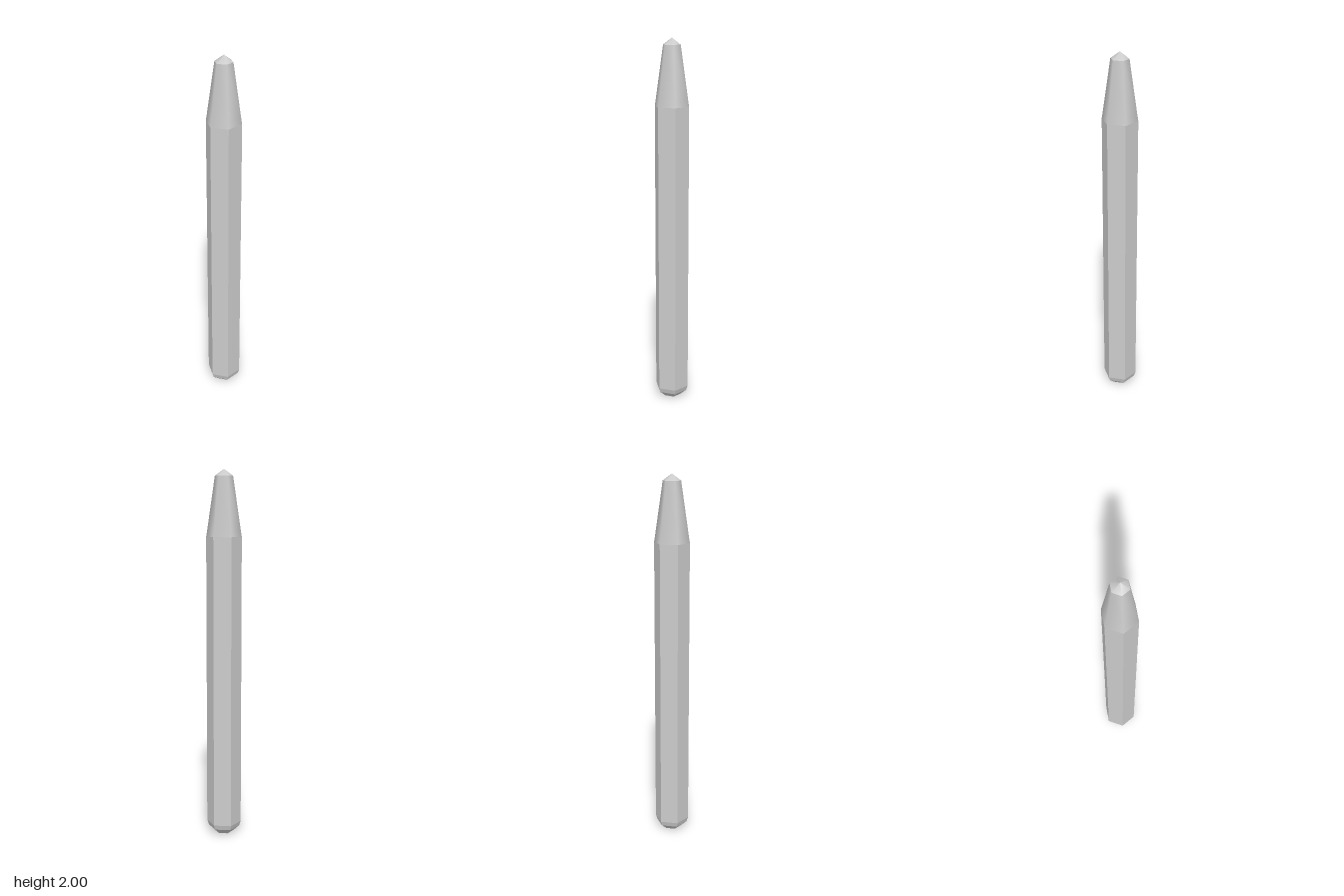
import * as THREE from 'three';

const SIDES = 6;
const R = 0.095;

export function createModel() {
  const group = new THREE.Group();
  const smooth = new THREE.MeshStandardMaterial({ color: 0xcccccc });
  const flat = new THREE.MeshStandardMaterial({ color: 0xcccccc, flatShading: true });

  const add = (name, geometry, material) => {
    const mesh = new THREE.Mesh(geometry, material);
    mesh.name = name;
    group.add(mesh);
  };
  // six-sided turned section, with corners on the x axis
  const hexLathe = (...profile) => new THREE.LatheGeometry(
    profile.map(([r, y]) => new THREE.Vector2(r, y)), SIDES, Math.PI / 2);

  // Hexagonal shank with crisp flats
  const shank = new THREE.CylinderGeometry(R, R, 1.59, SIDES, 1, true, Math.PI / 2);
  shank.translate(0, 0.06 + 1.59 / 2, 0);
  add('shank', shank, flat);

  // Softened shoulder running into the long taper
  add('taper', hexLathe([R, 1.65], [0.09, 1.68], [0.048, 1.965]), smooth);

  // Short blunt point
  add('point', hexLathe([0.048, 1.965], [0, 2]), smooth);

  // Struck end: slight rounding, chamfer and flat face
  add('endRounding', hexLathe([0.086, 0.033], [R, 0.06]), flat);
  add('endChamfer', hexLathe([0.048, 0], [0.086, 0.033]), smooth);
  const face = new THREE.CircleGeometry(0.048, SIDES);
  face.rotateX(Math.PI / 2);
  add('endFace', face, flat);

  return group;
}
